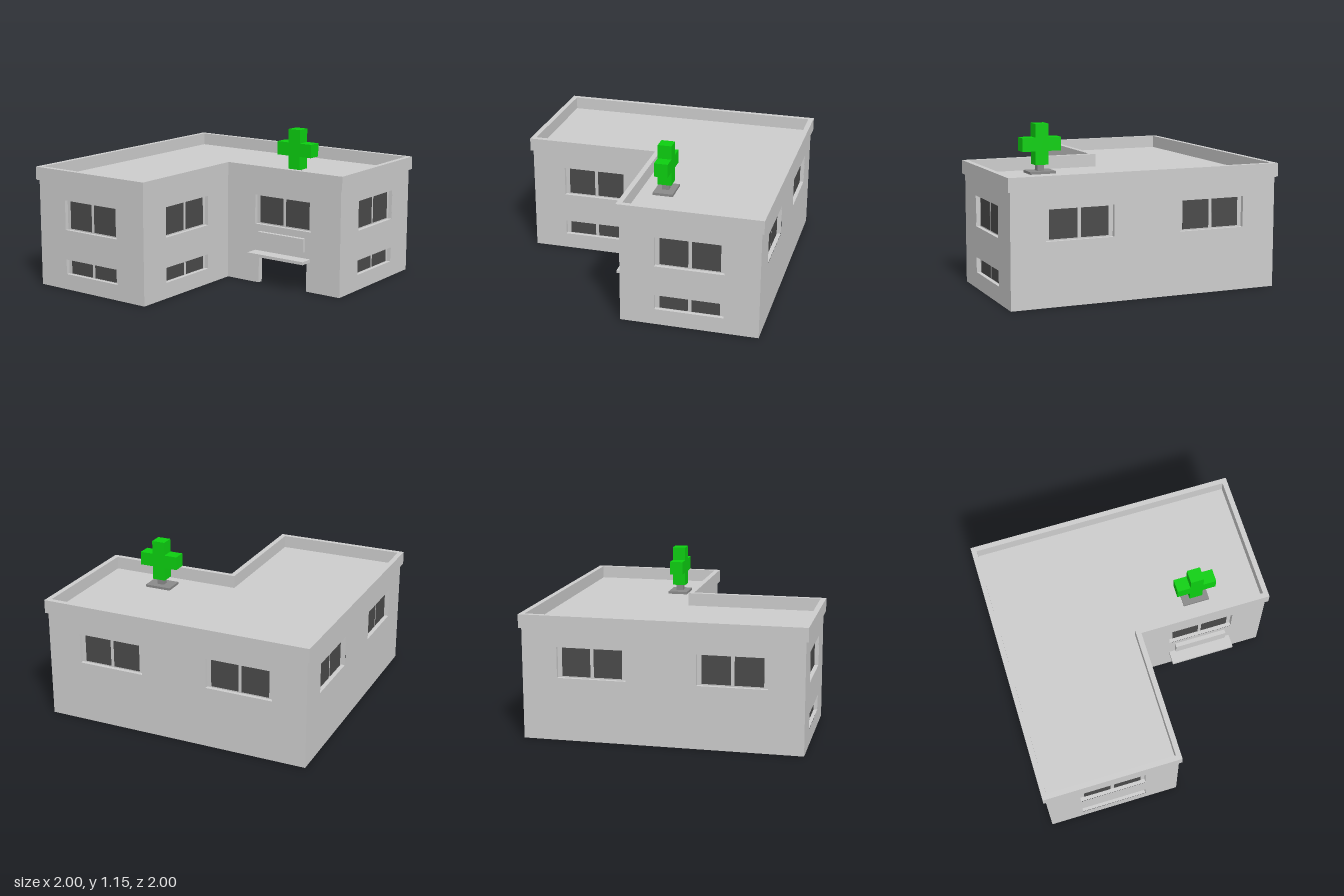
import * as THREE from 'three';

const paint = (name, color, side = THREE.FrontSide) => {
  const m = new THREE.MeshStandardMaterial({ color, side });
  m.name = name;
  return m;
};

export function createModel() {
  const concrete = paint('light grey concrete', 0xcccccc, THREE.DoubleSide);
  const glass = paint('dark glass', 0x4a4a4a);
  const steel = paint('grey steel', 0x8a8a8a);
  const green = paint('sign green', 0x0ccf10);
  const model = new THREE.Group();
  model.name = 'building';

  const add = (parent, name, geometry, material, x = 0, y = 0, z = 0) => {
    const mesh = new THREE.Mesh(geometry, material);
    mesh.name = name;
    mesh.position.set(x, y, z);
    parent.add(mesh);
    return mesh;
  };
  const box = (parent, name, mat, w, h, d, x, y, z) =>
    add(parent, name, new THREE.BoxGeometry(w, h, d), mat, x, y, z);

  const points = (list) => list.map(([x, y]) => new THREE.Vector2(x, y));
  const rect = (x, y, w, h) => points([
    [x - w / 2, y - h / 2], [x + w / 2, y - h / 2], [x + w / 2, y + h / 2], [x - w / 2, y + h / 2]]);

  // L-shaped plan, grown outward by d
  const H = 0.983;
  const plan = (d) => points([
    [-H - d, -H - d], [H + d, -H - d], [H + d, H + d], [-d, H + d], [-d, d], [-H - d, d]]);

  // Recessed window: reveal, back panel and two panes
  const W = 0.49;
  const depth = 0.03;
  function addWindow(parent, x, y, h, paneH) {
    const win = new THREE.Group();
    win.name = 'window';
    win.position.set(x, y, 0);
    parent.add(win);
    const ring = new THREE.Shape(rect(0, 0, W + 0.006, h + 0.006));
    ring.holes.push(new THREE.Path(rect(0, 0, W, h)));
    add(win, 'windowReveal',
      new THREE.ExtrudeGeometry(ring, { depth: depth - 0.002, bevelEnabled: false }),
      concrete, 0, 0, -depth);
    add(win, 'windowFrame', new THREE.PlaneGeometry(W, h), concrete, 0, 0, -depth);
    for (const s of [-1, 1])
      box(win, 'windowPane', glass, 0.2, paneH, 0.008, s * 0.113, 0, -depth);
  }

  // Wall sheet facing local +z, with window openings and an optional doorway
  const wallTop = 0.79;
  const upper = { y: 0.555, h: 0.22, pane: 0.2 };
  const lower = { y: 0.17, h: 0.11, pane: 0.1 };
  const doorW = 0.42;
  const doorH = 0.222;
  function addWall(name, length, x, z, turn, columns, rows, door = false) {
    const wall = new THREE.Group();
    wall.name = name;
    wall.position.set(x, 0, z);
    wall.rotation.y = turn;
    model.add(wall);
    const l = length / 2;
    const d = doorW / 2;
    const notch = door ? [[-d, 0], [-d, doorH], [d, doorH], [d, 0]] : [];
    const shape = new THREE.Shape(points([[-l, 0], ...notch, [l, 0], [l, wallTop], [-l, wallTop]]));
    for (const cx of columns) for (const r of rows) {
      shape.holes.push(new THREE.Path(rect(cx, r.y, W, r.h)));
      addWindow(wall, cx, r.y, r.h, r.pane);
    }
    add(wall, 'wallSheet', new THREE.ShapeGeometry(shape), concrete);
    return wall;
  }

  const q = Math.PI / 2;
  addWall('backWall', 2 * H, 0, -H, 2 * q, [-0.49, 0.49], [upper]);
  addWall('leftWall', 2 * H, H, 0, q, [-0.49, 0.49], [upper]);
  addWall('frontWall', H, H / 2, H, 0, [0], [upper, lower]);
  addWall('courtFrontWall', H, -H / 2, 0, 0, [0], [upper, lower]);
  addWall('rightWall', H, -H, -H / 2, -q, [0], [upper, lower]);
  const entry = addWall('entranceWall', H, 0, H / 2, -q, [0], [upper], true);

  // Entrance: jambs, lintel, canopy and blank sign panel
  for (const s of [-1, 1])
    box(entry, 'doorJamb', concrete, 0.012, doorH, 0.04, s * (doorW / 2 + 0.006), doorH / 2, -0.021);
  box(entry, 'doorLintel', concrete, doorW, 0.012, 0.04, 0, doorH + 0.006, -0.021);
  box(entry, 'canopy', concrete, 0.485, 0.022, 0.1, 0, 0.235, 0.05);
  box(entry, 'signPanel', concrete, 0.395, 0.1, 0.03, 0, 0.345, 0.015);

  // Roof slab and parapet band
  const roof = add(model, 'roof', new THREE.ShapeGeometry(new THREE.Shape(plan(-0.005))), concrete, 0, 0.792, 0);
  roof.rotation.x = q;
  const rim = new THREE.Shape(plan(0.017));
  rim.holes.push(new THREE.Path(plan(-0.021)));
  const parapet = add(model, 'parapet',
    new THREE.ExtrudeGeometry(rim, { depth: 0.097, bevelEnabled: false }), concrete, 0, 0.885, 0);
  parapet.rotation.x = q;

  // Rooftop cross on a short post
  const cross = new THREE.Group();
  cross.name = 'roofCross';
  cross.position.set(0.197, 0, 0.487);
  model.add(cross);
  box(cross, 'crossBase', steel, 0.145, 0.018, 0.195, 0, 0.801, 0);
  box(cross, 'crossPost', steel, 0.05, 0.06, 0.05, 0, 0.83, 0);
  box(cross, 'crossUpright', green, 0.098, 0.295, 0.098, 0, 1.0025, 0);
  for (const s of [-1, 1])
    box(cross, 'crossArm', green, 0.098, 0.098, 0.097, 0, 1.0025, s * 0.0975);

  return model;
}
